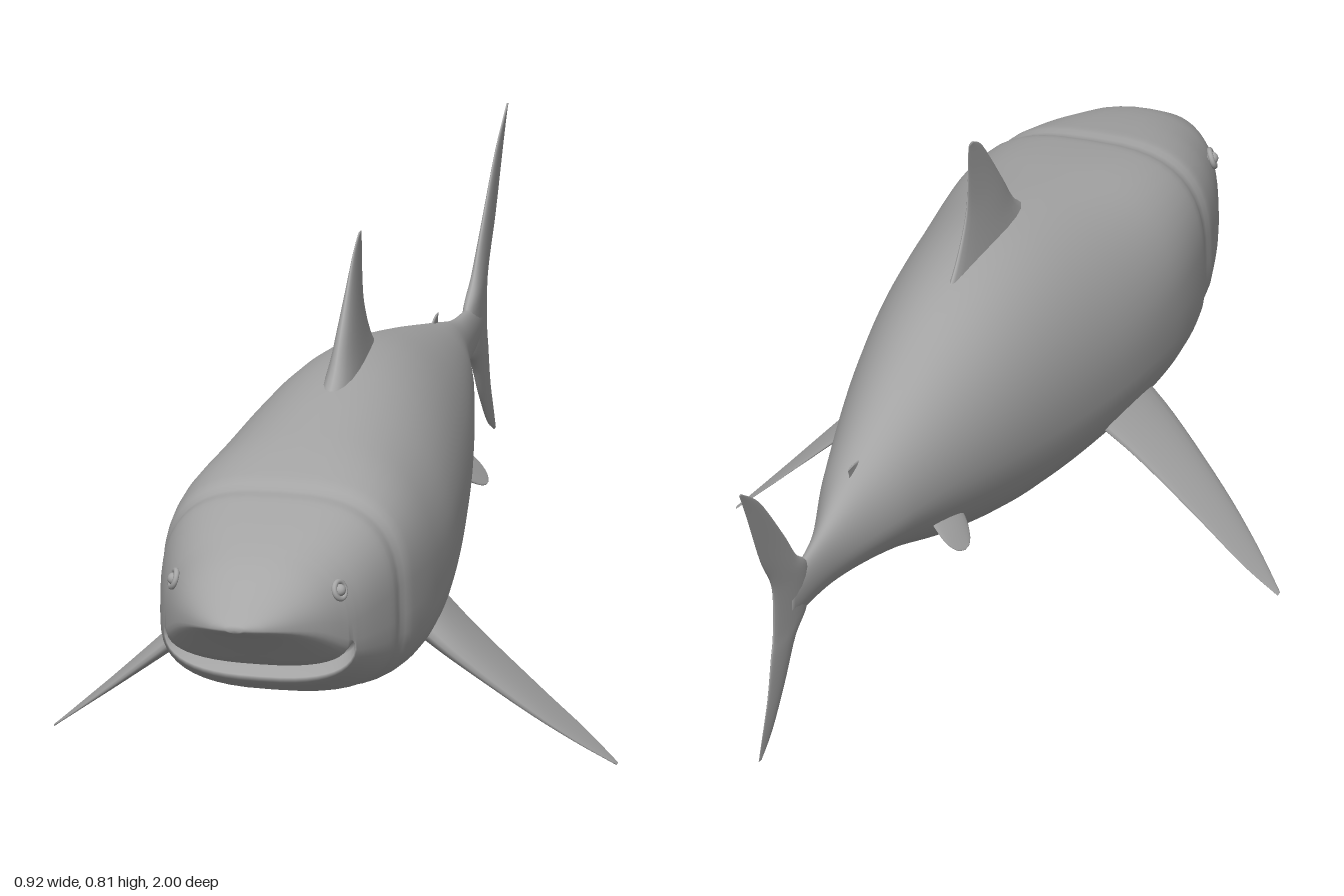
import * as THREE from 'three';

const skin = new THREE.MeshStandardMaterial({ color: 0xa6a6a6 });
skin.name = 'grey skin';

// Closed smooth skin over a list of rings that have equal point counts
function loft(name, rings) {
  const n = rings[0].length, pos = [], idx = [];
  const centre = (r) => r.reduce((s, p) => s.add(p), new THREE.Vector3()).divideScalar(n);
  rings.forEach((r) => r.forEach((p) => pos.push(p.x, p.y, p.z)));
  const last = (rings.length - 1) * n, c0 = rings.length * n;
  [rings[0], rings[rings.length - 1]].forEach((r) => pos.push(...centre(r).toArray()));
  for (let i = 0; i < rings.length - 1; i++) {
    for (let j = 0; j < n; j++) {
      const a = i * n + j, b = i * n + (j + 1) % n;
      idx.push(a, a + n, b, b, a + n, b + n);
    }
  }
  for (let j = 0; j < n; j++) {
    const k = (j + 1) % n;
    idx.push(c0, j, k, c0 + 1, last + k, last + j);
  }
  // turn the faces outward whichever way the rings run
  const P = (i) => new THREE.Vector3().fromArray(pos, i * 3);
  let volume = 0;
  for (let i = 0; i < idx.length; i += 3) volume += P(idx[i]).dot(P(idx[i + 1]).cross(P(idx[i + 2])));
  if (volume < 0) idx.reverse();
  const g = new THREE.BufferGeometry();
  g.setAttribute('position', new THREE.Float32BufferAttribute(pos, 3));
  g.setIndex(idx);
  g.computeVertexNormals();
  const mesh = new THREE.Mesh(g, skin);
  mesh.name = name;
  return mesh;
}

// Smooth value along z through a few [z, value] points, listed from nose to tail
function profile(pts) {
  const slope = (i) => {
    const a = pts[Math.max(i - 1, 0)], b = pts[Math.min(i + 1, pts.length - 1)];
    return (b[1] - a[1]) / (b[0] - a[0]);
  };
  return (z) => {
    let i = 0;
    while (i < pts.length - 2 && z < pts[i + 1][0]) i++;
    const [z0, v0] = pts[i], [z1, v1] = pts[i + 1], d = z1 - z0, t = (z - z0) / d;
    const h = t * t * (3 - 2 * t);
    return v0 + (v1 - v0) * h + d * t * (1 - t) * (slope(i) * (1 - t) - slope(i + 1) * t);
  };
}

const back = profile([[1, 0.436], [0.97, 0.455], [0.86, 0.509], [0.65, 0.558], [0.46, 0.59], [0.2, 0.614],
  [0.02, 0.604], [-0.18, 0.56], [-0.5, 0.47], [-0.62, 0.437], [-0.78, 0.42]]);
const snoutUnderside = profile([[1, 0.426], [0.94, 0.396], [0.83, 0.32]]);
const belly = profile([[0.79, 0.273], [0.7, 0.236], [0.56, 0.208], [0.25, 0.19], [0.02, 0.195],
  [-0.18, 0.235], [-0.4, 0.304], [-0.58, 0.336], [-0.78, 0.35]]);
const halfWidth = profile([[1, 0.012], [0.985, 0.043], [0.94, 0.086], [0.86, 0.136], [0.75, 0.176], [0.6, 0.206],
  [0.46, 0.213], [0.25, 0.198], [-0.08, 0.148], [-0.4, 0.079], [-0.6, 0.027], [-0.78, 0.01]]);
const widest = profile([[1, 0.431], [0.9, 0.405], [0.8, 0.364], [0.4, 0.36], [-0.3, 0.388], [-0.78, 0.385]]);
const bump = (z, at, width) => Math.exp(-(((z - at) / width) ** 2));

// Superellipse ring, squarer at the head and belly; lip slides the lower half in z
function bodyRing(z, bottom, lip = 0) {
  const ring = [], sides = 48, mid = widest(z);
  const groove = 1 - 0.03 * bump(z, 0.65, 0.018);
  for (let j = 0; j < sides; j++) {
    const a = (j / sides) * Math.PI * 2, c = Math.cos(a), s = Math.sin(a);
    const e = 2 / (2 + (s >= 0 ? bump(z, 0.66, 0.2) : bump(z, 0.5, 0.45)));
    const h = s >= 0 ? back(z) - mid : mid - bottom;
    ring.push(new THREE.Vector3(
      groove * halfWidth(z) * Math.sign(c) * Math.abs(c) ** e,
      mid + groove * h * Math.sign(s) * Math.abs(s) ** e,
      z + lip * Math.sqrt(Math.max(0, -s))));
  }
  return ring;
}

function makeBody() {
  const rings = [];
  // snout, with rings closer together at the tip
  for (let i = 0; i <= 14; i++) {
    const z = 1 - 0.17 * (i / 14) ** 1.6;
    rings.push(bodyRing(z, snoutUnderside(z)));
  }
  // mouth: upper lip, notch, lower lip
  rings.push(bodyRing(0.826, 0.324, -0.008), bodyRing(0.82, 0.34, -0.035), bodyRing(0.815, 0.318, -0.028),
    bodyRing(0.81, 0.293), bodyRing(0.805, 0.284, 0.004));
  // jaw, trunk and tail stem
  for (let i = 0; i <= 120; i++) {
    const z = 0.79 - 1.57 * (i / 120);
    rings.push(bodyRing(z, belly(z)));
  }
  return loft('body', rings);
}

// Fin: rows of [distance along span, leading z, trailing z], rounded to a thickness that varies with t
function fin(name, rows, thickness, origin, span) {
  const start = new THREE.Vector3(...origin), along = new THREE.Vector3(...span).normalize();
  const normal = new THREE.Vector3(along.y, -along.x, 0);
  const lead = new THREE.SplineCurve(rows.map(([s, a]) => new THREE.Vector2(s, a)));
  const trail = new THREE.SplineCurve(rows.map(([s, , b]) => new THREE.Vector2(s, b)));
  const rings = [], steps = (rows.length - 1) * 5, sides = 20;
  for (let i = 0; i <= steps; i++) {
    const t = i / steps, a = lead.getPoint(t), b = trail.getPoint(t), ring = [];
    for (let j = 0; j < sides; j++) {
      const ang = (j / sides) * Math.PI * 2, u = (1 - Math.cos(ang)) / 2;
      const p = start.clone().addScaledVector(along, a.x);
      p.z += THREE.MathUtils.lerp(a.y, b.y, u);
      ring.push(p.addScaledVector(normal, thickness(t) * Math.sin(ang) * (1 - 0.6 * u)));
    }
    rings.push(ring);
  }
  return loft(name, rings);
}
const taper = (root) => (t) => 0.002 + root * (1 - t) ** 2;

function makeEye(side, s) {
  const eye = new THREE.Group();
  eye.name = side + 'Eye';
  const rim = new THREE.Mesh(new THREE.TorusGeometry(0.014, 0.0045, 10, 24), skin);
  rim.name = 'eyeRim';
  const ball = new THREE.Mesh(new THREE.SphereGeometry(0.01, 16, 12), skin);
  ball.name = 'eyeball';
  eye.add(rim, ball);
  eye.position.set(s * 0.136, 0.456, 0.836);
  eye.lookAt(s * 1.136, 0.8, 1.25);
  return eye;
}

export function createModel() {
  const shark = new THREE.Group();
  shark.name = 'shark';
  shark.add(makeBody());

  // Fins on the centre line
  const up = [0, 1, 0];
  shark.add(fin('dorsalFin', [[0, 0.37, -0.05], [0.053, 0.275, 0.015], [0.115, 0.22, 0.058],
    [0.17, 0.173, 0.068], [0.215, 0.13, 0.069], [0.237, 0.092, 0.073]], taper(0.042), [0, 0.57, 0], up));
  shark.add(fin('rearDorsalFin', [[0, -0.39, -0.48], [0.025, -0.42, -0.487], [0.035, -0.465, -0.492]],
    taper(0.006), [0, 0.455, 0], up));
  shark.add(fin('tailFin', [[-0.22, -0.895, -0.908], [-0.19, -0.845, -0.895], [-0.13, -0.792, -0.867],
    [-0.065, -0.745, -0.85], [-0.03, -0.69, -0.841], [0.035, -0.69, -0.841], [0.075, -0.743, -0.855],
    [0.135, -0.797, -0.903], [0.24, -0.905, -0.965], [0.294, -0.99, -0.999]],
  (t) => 0.002 + 0.014 * Math.sin(Math.PI * t) ** 2, [0, 0.385, 0], up));

  // Paired fins and eyes
  for (const [side, s] of [['left', 1], ['right', -1]]) {
    shark.add(fin(side + 'PectoralFin', [[0, 0.415, 0.225], [0.1, 0.405, 0.24], [0.24, 0.36, 0.242],
      [0.34, 0.312, 0.24], [0.416, 0.262, 0.25]], taper(0.038), [s * 0.15, 0.28, 0], [s * 0.745, -0.666, 0]));
    shark.add(fin(side + 'PelvicFin', [[0, -0.21, -0.31], [0.045, -0.225, -0.322], [0.07, -0.25, -0.312],
      [0.08, -0.272, -0.292]], taper(0.012), [s * 0.07, 0.335, 0], [s, -1, 0]));
    shark.add(makeEye(side, s));
  }
  return shark;
}
